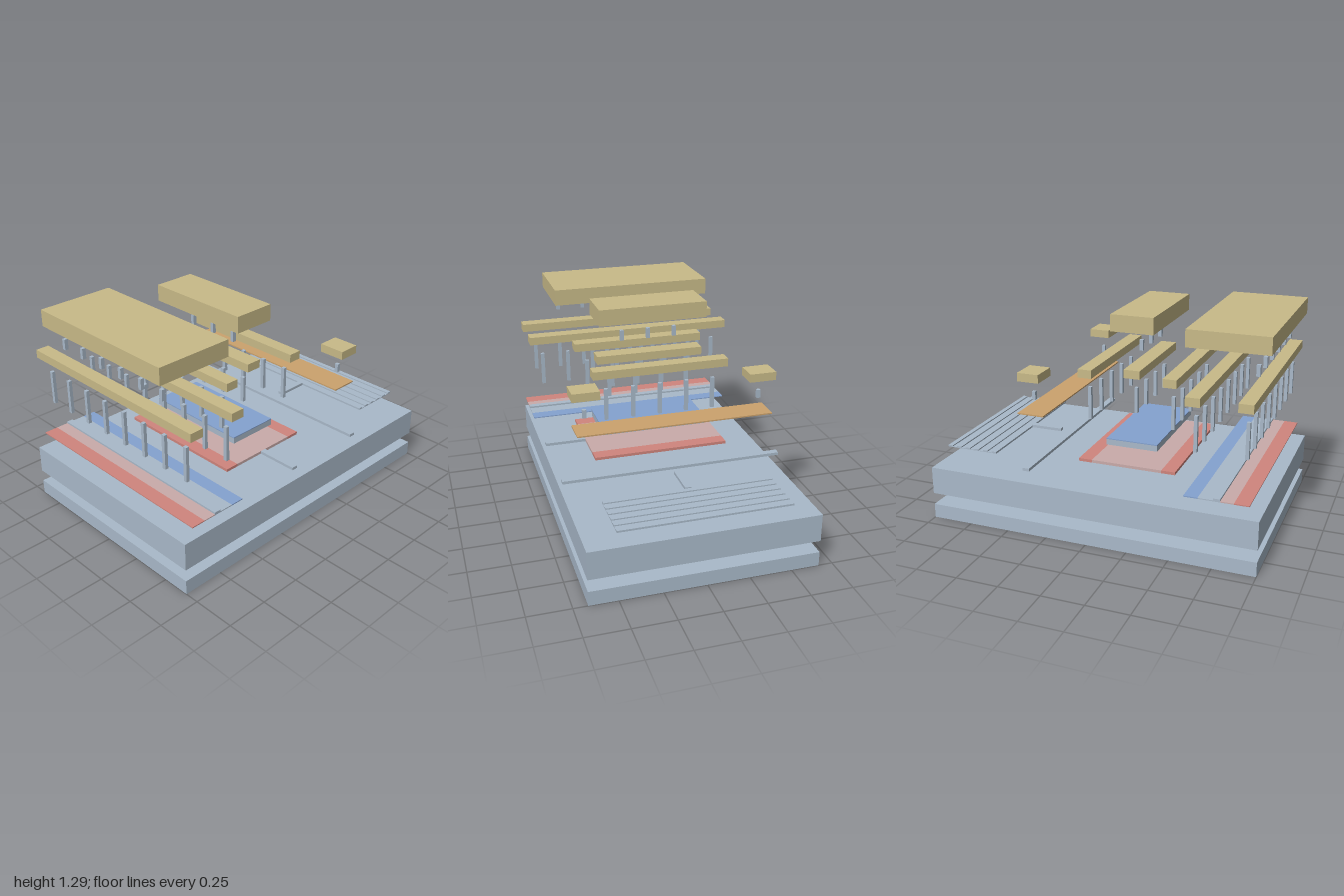
import * as THREE from 'three';

const paint = (name, color) => Object.assign(new THREE.MeshStandardMaterial({ color }), { name });

export function createModel() {
  const model = new THREE.Group();
  model.name = 'explodedChip';
  const slate = paint('slate', 0xa9b9c9);
  const sand = paint('sand', 0xc8ba88);
  const copper = paint('copper', 0xcba26d);
  const red = paint('red', 0xd0857d);
  const pink = paint('pink', 0xc9abaa);
  const blue = paint('blue', 0x84a2d0);

  // Box given by its limits on each axis
  function block(name, mat, x0, x1, y0, y1, z0, z1) {
    const mesh = new THREE.Mesh(new THREE.BoxGeometry(x1 - x0, y1 - y0, z1 - z0), mat);
    mesh.position.set((x0 + x1) / 2, (y0 + y1) / 2, (z0 + z1) / 2);
    mesh.name = name;
    model.add(mesh);
  }
  // Row of square pins along z
  function pins(name, x, y0, y1, zs, w = 0.01) {
    for (const z of zs) block(name, slate, x - w, x + w, y0, y1, z - 0.011, z + 0.011);
  }
  const D = 0.667;

  // Base slabs
  block('substrate', slate, -1, 1, 0, 0.087, -D, D);
  block('oxideSlab', slate, -1, 1, 0.16, 0.328, -D, D);

  // Diode strips with raised rib between them
  const y = 0.405;
  block('redStrip', red, -0.945, -0.86, y, 0.411, -D, D);
  block('pinkStrip', pink, -0.86, -0.785, y, 0.411, -D, D);
  block('rib', slate, -0.785, -0.745, y, 0.422, -D, D);
  block('paleStrip', slate, -0.745, -0.66, y, 0.411, -D, D);
  block('blueStrip', blue, -0.66, -0.58, y, 0.411, -D, D);

  // Detector plate with its lead
  block('detectorEdge', red, -0.452, -0.37, y, 0.422, -0.417, 0.417);
  block('detectorMiddle', pink, -0.37, 0.06, y, 0.422, -0.417, 0.417);
  block('detectorEdge', red, 0.06, 0.142, y, 0.422, -0.417, 0.417);
  block('detectorLead', slate, -0.175, -0.138, y, 0.422, 0.417, D);
  block('detectorCore', slate, -0.315, 0, 0.497, 0.532, -0.333, 0.333);
  block('detectorCoreTop', blue, -0.315, 0, 0.532, 0.538, -0.333, 0.333);

  // Waveguide, heater and grating
  block('waveguide', slate, 0.345, 0.385, y, 0.422, -D, D);
  block('heater', copper, 0.285, 0.447, 0.714, 0.722, -0.583, 0.583);
  block('gratingLead', slate, 0.447, 0.65, y, 0.422, -0.018, 0.018);
  block('gratingBase', slate, 0.65, 0.98, y, 0.409, -0.5, 0.5);
  for (let i = 0; i < 6; i++) {
    const x = 0.65 + i * 0.06;
    block('gratingRidge', slate, x, x + 0.03, 0.409, 0.416, -0.5, 0.5);
  }

  // Lower pins
  const eight = [...Array(8).keys()].map(i => (i - 3.5) / 6);
  const five = [-2, -1, 0, 1, 2].map(i => i / 6);
  for (const x of [-0.902, -0.618]) pins('longPin', x, 0.638, 0.845, eight);
  for (const x of [-0.411, 0.099]) pins('detectorPin', x, 0.649, 0.845, five);
  pins('corePin', -0.157, 0.69, 0.845, eight.slice(2, 6));
  pins('heaterPin', 0.365, 0.795, 0.845, [-0.523, 0.523]);

  // Contact bars
  for (const x of [-0.902, -0.618]) block('contactBar', sand, x - 0.041, x + 0.041, 0.92, 0.97, -D, D);
  for (const x of [-0.411, 0.099]) block('contactBar', sand, x - 0.041, x + 0.041, 0.92, 0.97, -0.417, 0.417);
  block('coreBar', sand, -0.205, -0.108, 0.92, 0.97, -0.333, 0.333);
  for (const z of [-0.523, 0.523]) block('heaterPad', sand, 0.3, 0.43, 0.92, 0.97, z - 0.08, z + 0.08);

  // Upper pins and top pads
  pins('upperPin', -0.903, 1.046, 1.11, eight.slice(1, 7), 0.011);
  pins('upperPin', -0.157, 1.046, 1.11, five.slice(1, 4), 0.011);
  block('topPad', sand, -0.985, -0.52, 1.187, 1.286, -0.5, 0.5);
  block('topPad', sand, -0.285, -0.028, 1.187, 1.286, -0.333, 0.333);
  return model;
}
